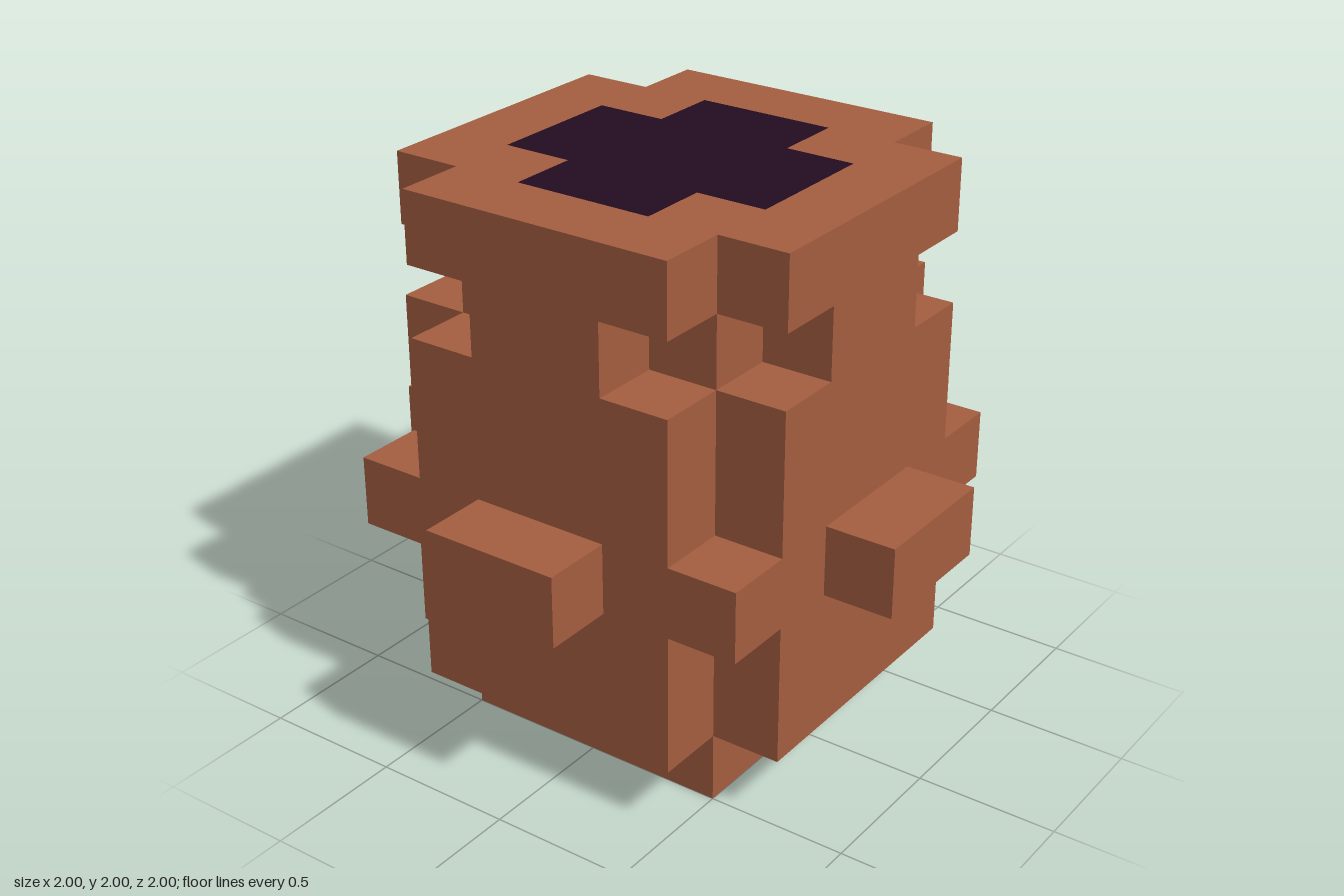
import * as THREE from 'three';

const U = 0.25; // block size

// Outline with four-fold symmetry: one quadrant's corners, turned four times
function outline(corners, Type = THREE.Shape) {
  const points = [];
  for (let turn = 0; turn < 4; turn++) {
    for (const [x, y] of corners) {
      const p = [[x, y], [-y, x], [-x, -y], [y, -x]][turn];
      points.push(new THREE.Vector2(p[0] * U, p[1] * U));
    }
  }
  return new Type(points);
}

export function createModel() {
  const clay = new THREE.MeshStandardMaterial({ color: 0xa65e40 });
  clay.name = 'terracotta';
  const dark = new THREE.MeshStandardMaterial({ color: 0x230d20 });
  dark.name = 'dark opening';

  const model = new THREE.Group();
  model.name = 'blockPot';

  // A horizontal layer, with its base and height given in blocks
  function layer(name, corners, base, height, material = clay, hole = null) {
    const shape = outline(corners);
    if (hole) shape.holes.push(outline(hole, THREE.Path));
    const geometry = new THREE.ExtrudeGeometry(shape, { depth: height * U, bevelEnabled: false });
    geometry.rotateX(-Math.PI / 2);
    const mesh = new THREE.Mesh(geometry, material);
    mesh.name = name;
    mesh.position.y = base * U;
    model.add(mesh);
  }

  const cutSquare = [[3, 2], [2, 2], [2, 3]];
  const notched = [[3, 1], [2, 1], [2, 2], [1, 2], [1, 3]];
  const cross = [[2, 1], [1, 1], [1, 2]];

  layer('foot', [[2, 2]], 0, 1);
  layer('lowerBody', cutSquare, 1, 2);
  layer('belt', [[3, 3]], 3, 1);
  layer('upperBody', cutSquare, 4, 2);
  layer('notchedNeck', notched, 6, 1);
  layer('rim', cutSquare, 7, 1, clay, cross);
  layer('opening', cross, 7, 1, dark);

  // Four handles standing out from the belt
  const handleGeometry = new THREE.BoxGeometry(2 * U, U, U);
  ['front', 'left', 'back', 'right'].forEach((side, i) => {
    const handle = new THREE.Mesh(handleGeometry, clay);
    const angle = i * Math.PI / 2;
    handle.name = side + 'Handle';
    handle.rotation.y = angle;
    handle.position.set(Math.sin(angle) * 3.5 * U, 3.5 * U, Math.cos(angle) * 3.5 * U);
    model.add(handle);
  });

  return model;
}
